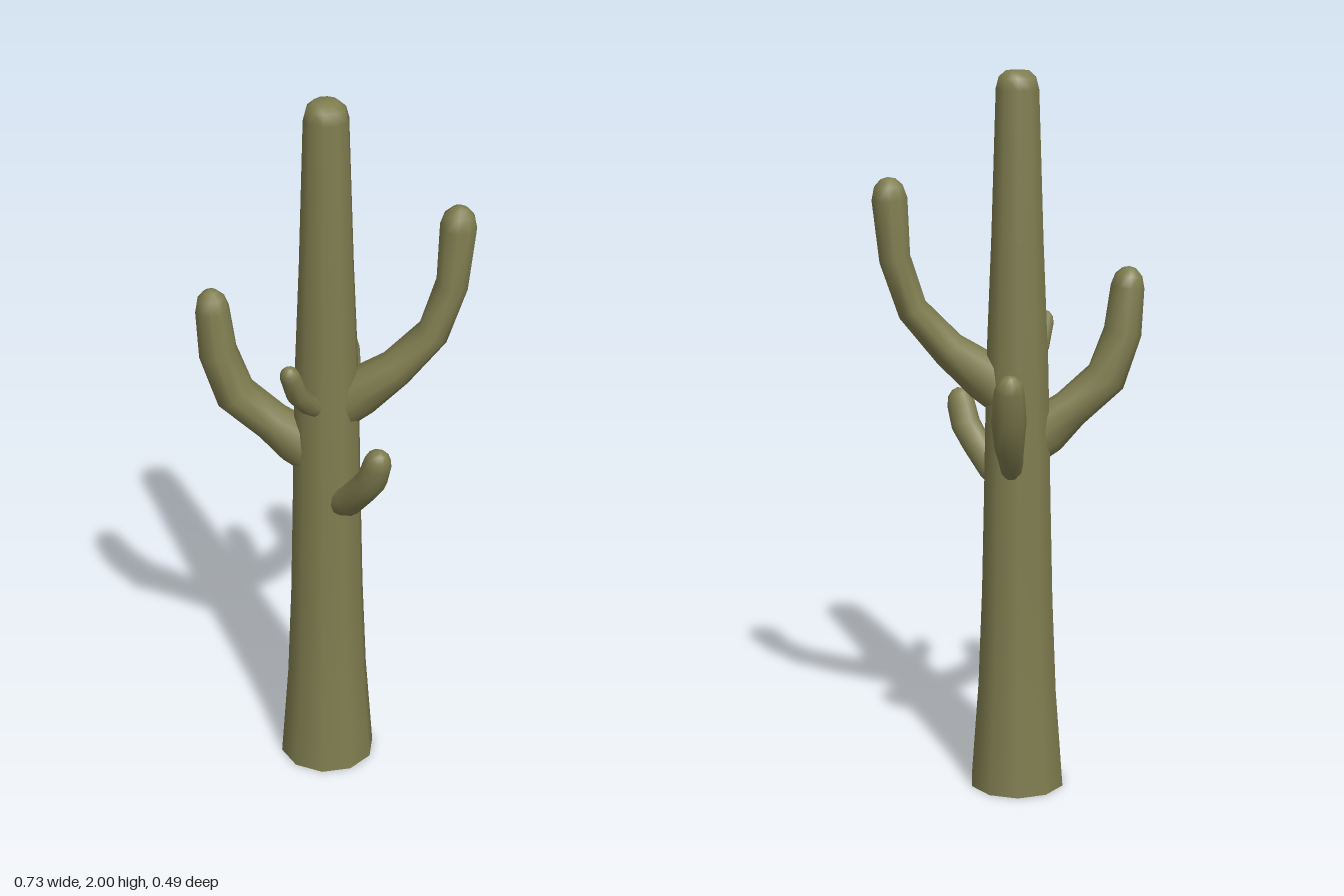
import * as THREE from 'three';

const SIDES = 10;

// Lofts elliptical rings along a path and closes it with a rounded tip.
// Each station is [x, y, z, half-thickness in the bend plane, half-width across it].
function armGeometry(stations) {
  const pts = stations.map(s => new THREE.Vector3(s[0], s[1], s[2]));
  const last = pts.length - 1;
  const heading = pts[last].clone().sub(pts[0]).setY(0).normalize();
  const side = new THREE.Vector3(-heading.z, 0, heading.x);
  const verts = [], index = [];
  let rings = 0;

  const addRing = (centre, tangent, a, b) => {
    const up = tangent.clone().cross(side).normalize();
    for (let j = 0; j < SIDES; j++) {
      const t = (j / SIDES) * Math.PI * 2;
      const p = centre.clone()
        .addScaledVector(side, Math.cos(t) * b)
        .addScaledVector(up, Math.sin(t) * a);
      verts.push(p.x, p.y, p.z);
    }
    rings++;
  };

  const tangentAt = i => pts[Math.min(i + 1, last)].clone()
    .sub(pts[Math.max(i - 1, 0)]).normalize();
  stations.forEach((s, i) => addRing(pts[i], tangentAt(i), s[3], s[4]));

  // rounded tip
  const dir = tangentAt(last);
  const [, , , a, b] = stations[last];
  for (const [scale, rise] of [[0.8, 0.7], [0.42, 1.08]]) {
    addRing(pts[last].clone().addScaledVector(dir, a * rise), dir, a * scale, b * scale);
  }
  const pole = pts[last].clone().addScaledVector(dir, a * 1.2);
  verts.push(pole.x, pole.y, pole.z);

  for (let i = 0; i < rings; i++) {
    for (let j = 0; j < SIDES; j++) {
      const k = (j + 1) % SIDES;
      const p = i * SIDES + j, q = i * SIDES + k;
      if (i === rings - 1) index.push(p, q, rings * SIDES);
      else index.push(p, q, q + SIDES, p, q + SIDES, p + SIDES);
    }
  }
  const geo = new THREE.BufferGeometry();
  geo.setAttribute('position', new THREE.Float32BufferAttribute(verts, 3));
  geo.setIndex(index);
  geo.computeVertexNormals();
  return geo;
}

export function createModel() {
  const model = new THREE.Group();
  model.name = 'cactus';
  const green = new THREE.MeshStandardMaterial({ color: 0x7f7d4f });
  green.name = 'olive green';

  const add = (name, geometry) => {
    const mesh = new THREE.Mesh(geometry, green);
    mesh.name = name;
    model.add(mesh);
    return mesh;
  };

  // trunk, tapering to a rounded top
  const profile = [
    [0.134, 0], [0.113, 0.28], [0.102, 0.55], [0.095, 0.85], [0.088, 1.2],
    [0.073, 1.55], [0.06, 1.95], [0.052, 1.98], [0.033, 1.997], [0, 2],
  ].map(([r, y]) => new THREE.Vector2(r, y));
  add('trunk', new THREE.LatheGeometry(profile, SIDES)).position.set(-0.025, 0, 0.026);

  // flat underside
  const base = new THREE.CircleGeometry(0.134, SIDES, Math.PI / 2);
  base.rotateX(Math.PI / 2);
  add('trunkBase', base).position.set(-0.025, 0, 0.026);

  // two large side arms
  add('leftArm', armGeometry([
    [-0.02, 1.1, 0.025, 0.06, 0.06],
    [0.06, 1.172, 0.025, 0.068, 0.066],
    [0.16, 1.25, 0.024, 0.05, 0.066],
    [0.257, 1.36, 0.02, 0.043, 0.06],
    [0.303, 1.5, 0.014, 0.044, 0.053],
    [0.315, 1.66, 0.011, 0.05, 0.049],
  ]));
  add('rightArm', armGeometry([
    [-0.03, 0.96, 0.032, 0.06, 0.055],
    [-0.1, 1.02, 0.036, 0.07, 0.056],
    [-0.17, 1.078, 0.043, 0.055, 0.055],
    [-0.268, 1.165, 0.053, 0.056, 0.066],
    [-0.312, 1.29, 0.056, 0.052, 0.06],
    [-0.324, 1.415, 0.056, 0.046, 0.05],
  ]));

  // three small arms
  add('frontLeftArm', armGeometry([
    [0.0, 0.85, 0.07, 0.035, 0.03],
    [0.045, 0.89, 0.125, 0.042, 0.034],
    [0.085, 0.95, 0.163, 0.04, 0.04],
    [0.115, 1.0, 0.19, 0.04, 0.042],
    [0.128, 1.055, 0.205, 0.039, 0.039],
  ]));
  add('frontRightArm', armGeometry([
    [-0.04, 1.145, 0.08, 0.025, 0.022],
    [-0.063, 1.18, 0.125, 0.028, 0.026],
    [-0.088, 1.23, 0.165, 0.028, 0.03],
    [-0.102, 1.292, 0.186, 0.027, 0.028],
  ]));
  add('backArm', armGeometry([
    [-0.01, 0.93, -0.03, 0.04, 0.032],
    [-0.005, 0.965, -0.08, 0.042, 0.034],
    [0, 1.015, -0.138, 0.042, 0.04],
    [0.002, 1.1, -0.19, 0.035, 0.047],
    [0.001, 1.187, -0.21, 0.036, 0.04],
  ]));

  return model;
}
